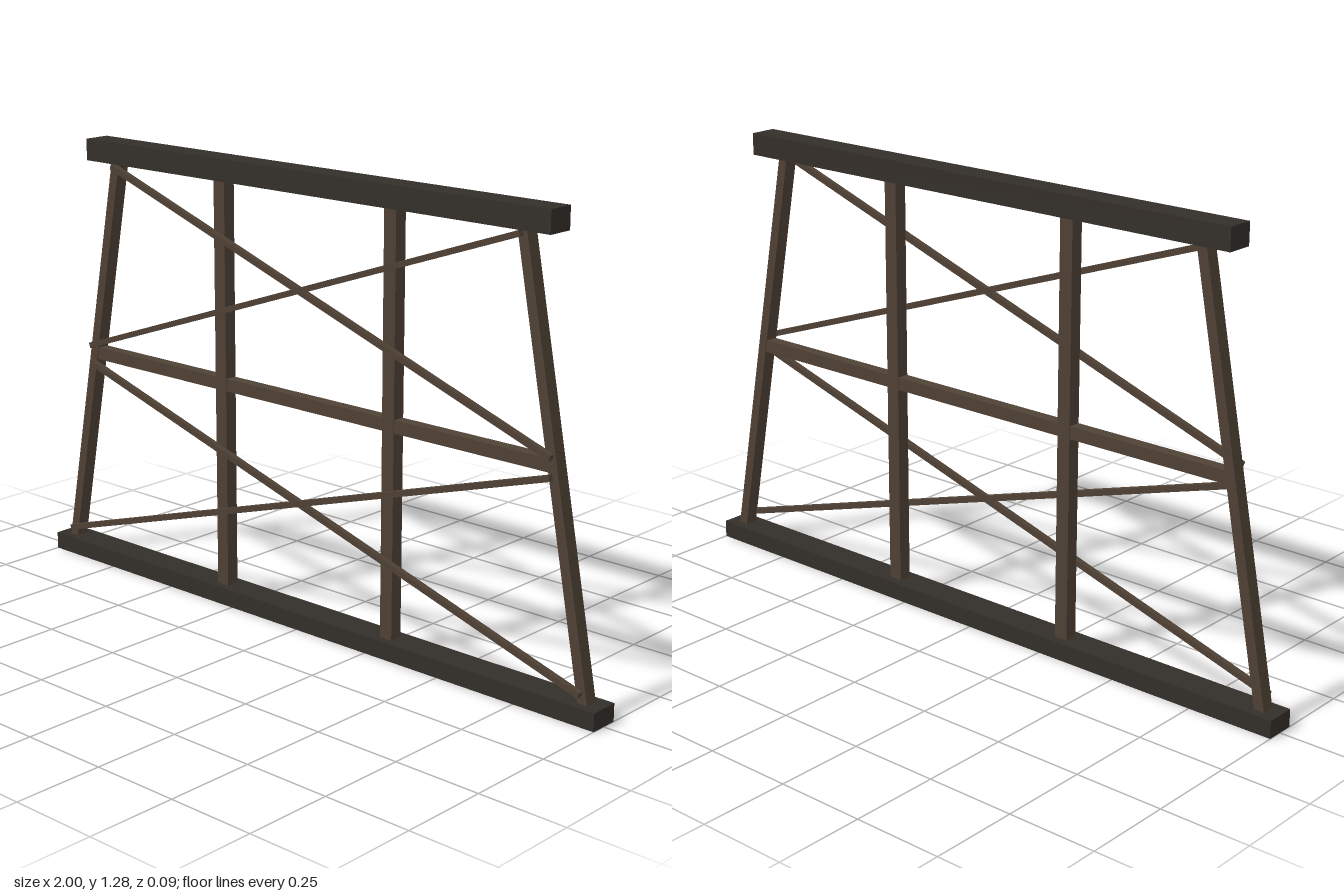
import * as THREE from 'three';

export function createModel() {
  const group = new THREE.Group();
  const dark = new THREE.MeshStandardMaterial({ color: 0x332e29, flatShading: true });
  const brown = new THREE.MeshStandardMaterial({ color: 0x4f4135, flatShading: true });

  // Straight timber between two points in the x-y plane
  function timber(name, [x1, y1], [x2, y2], width, depth, z, material) {
    const length = Math.hypot(x2 - x1, y2 - y1);
    const mesh = new THREE.Mesh(new THREE.BoxGeometry(length, width, depth), material);
    mesh.name = name;
    mesh.position.set((x1 + x2) / 2, (y1 + y2) / 2, z);
    mesh.rotation.z = Math.atan2(y2 - y1, x2 - x1);
    group.add(mesh);
  }

  // Sill at the foot, cap on top, rail across the middle
  timber('sillBeam', [-1, 0.025], [1, 0.025], 0.05, 0.086, 0, dark);
  timber('capBeam', [-0.82, 1.25], [0.82, 1.25], 0.062, 0.078, 0, dark);
  timber('middleRail', [-0.842, 0.644], [0.842, 0.644], 0.036, 0.034, 0.001, brown);

  // Mirrored posts, sloping legs and diagonal braces
  for (const [side, s] of [['left', 1], ['right', -1]]) {
    timber(side + 'Post', [s * 0.306, 0.045], [s * 0.306, 1.225], 0.04, 0.038, 0.001, brown);
    timber(side + 'Leg', [s * 0.948, 0.045], [s * 0.721, 1.225], 0.029, 0.038, 0.001, brown);
    timber(side + 'UpperBrace', [-s * 0.835, 0.668], [s * 0.725, 1.21], 0.016, 0.017, 0.0275, brown);
    timber(side + 'LowerBrace', [-s * 0.945, 0.077], [s * 0.835, 0.617], 0.016, 0.017, 0.0275, brown);
  }
  return group;
}
